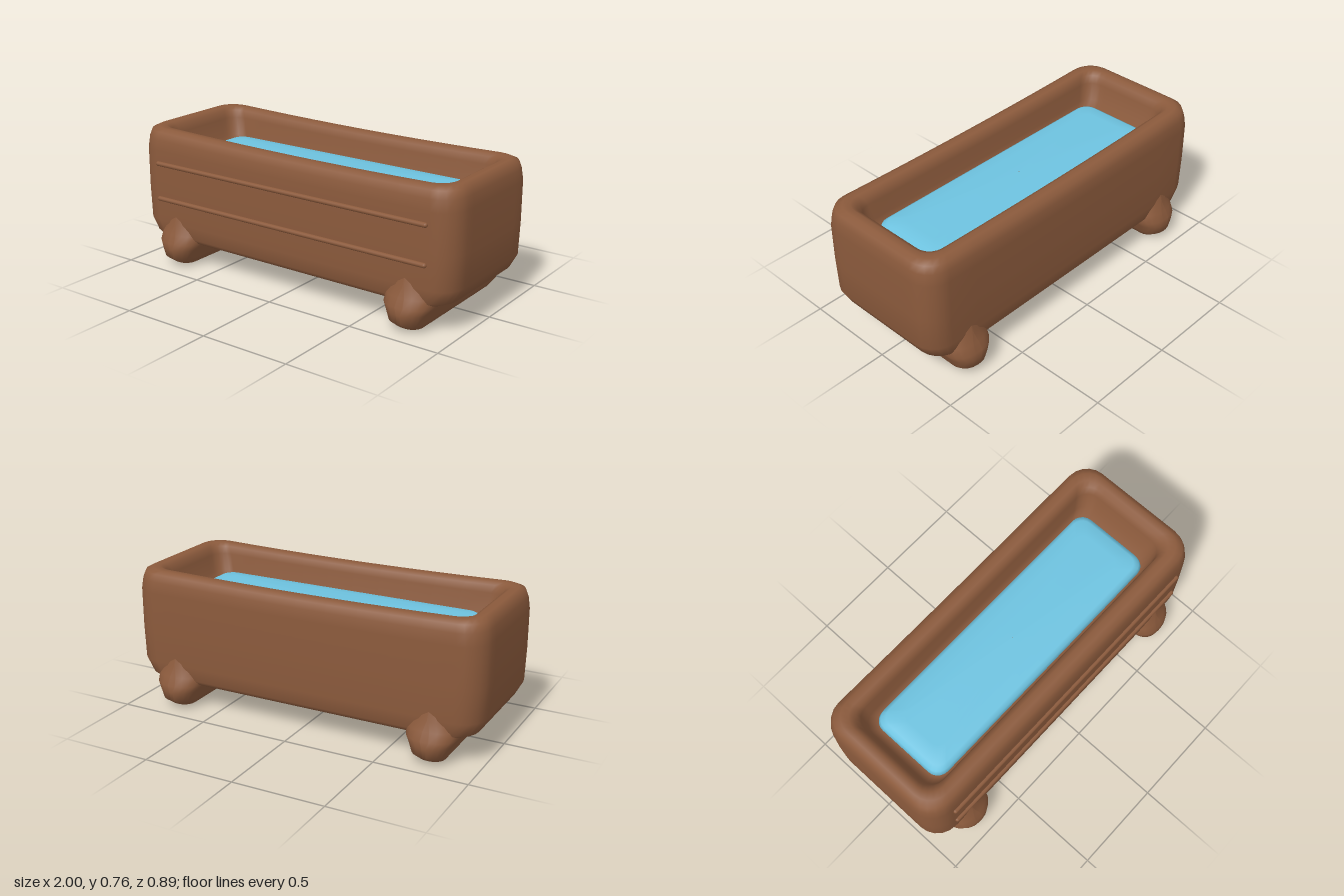
import * as THREE from 'three';

const material = (name, color) => {
  const m = new THREE.MeshStandardMaterial({ color });
  m.name = name;
  return m;
};

// Rounded-rectangle outline, counter-clockwise seen from below, always the same point count
function outline(hx, hz, radius) {
  const r = Math.min(radius, hx, hz), corners = [], pts = [];
  const signs = [[1, 1], [-1, 1], [-1, -1], [1, -1]];
  signs.forEach(([sx, sz], q) => {
    const arc = [];
    for (let i = 0; i <= 5; i++) {
      const a = (q + i / 5) * Math.PI / 2;
      arc.push([sx * (hx - r) + r * Math.cos(a), sz * (hz - r) + r * Math.sin(a)]);
    }
    corners.push(arc);
  });
  corners.forEach((arc, q) => {
    pts.push(...arc);
    const a = arc[5], b = corners[(q + 1) % 4][0];
    for (let i = 1; i < 10; i++) {
      pts.push([a[0] + (b[0] - a[0]) * i / 10, a[1] + (b[1] - a[1]) * i / 10]);
    }
  });
  return pts;
}

// Smooth skin through rings of [y, halfX, halfZ, cornerRadius], listed from the bottom outwards
function loft(rings, lift = () => 0) {
  const pos = [], index = [];
  let n = 0;
  rings.forEach(([y, hx, hz, r], j) => {
    const pts = outline(hx, hz, r);
    n = pts.length;
    pts.forEach(([x, z]) => pos.push(x, y + lift(x, y, z), z));
    if (j === 0) return;
    for (let i = 0; i < n; i++) {
      const a = (j - 1) * n + i, b = (j - 1) * n + (i + 1) % n;
      index.push(a, a + n, b, b, a + n, b + n);
    }
  });
  const g = new THREE.BufferGeometry();
  g.setAttribute('position', new THREE.Float32BufferAttribute(pos, 3));
  g.setIndex(index);
  g.computeVertexNormals();
  return g;
}

export function createModel() {
  const group = new THREE.Group();
  const wood = material('brown wood', 0x8b5a3c);
  const blue = material('blue water', 0x6ec3e0);
  const add = (name, geometry, mat) => {
    const mesh = new THREE.Mesh(geometry, mat);
    mesh.name = name;
    group.add(mesh);
    return mesh;
  };

  // Hollow trough: underside, outer wall, rounded rim, inner wall and floor
  const rimWave = (x, y) => (y > 0.55 ? (y - 0.55) * 5 * (0.018 * x * x - 0.004 * x - 0.006) : 0);
  add('trough', loft([
    [0.135, 0.002, 0.002, 0.002],
    [0.135, 0.84, 0.32, 0.08],
    [0.14, 0.9, 0.36, 0.1],
    [0.165, 0.955, 0.38, 0.12],
    [0.24, 0.995, 0.391, 0.13],
    [0.42, 1, 0.393, 0.13],
    [0.63, 1, 0.392, 0.13],
    [0.69, 0.992, 0.385, 0.13],
    [0.728, 0.978, 0.37, 0.12],
    [0.743, 0.95, 0.34, 0.11],
    [0.743, 0.915, 0.305, 0.09],
    [0.728, 0.888, 0.28, 0.08],
    [0.69, 0.872, 0.268, 0.08],
    [0.6, 0.85, 0.255, 0.08],
    [0.53, 0.8, 0.23, 0.08],
    [0.52, 0.002, 0.002, 0.002],
  ], rimWave), wood);

  // Water with a soft, rounded edge
  add('water', loft([
    [0.53, 0.785, 0.22, 0.07],
    [0.565, 0.8, 0.23, 0.07],
    [0.595, 0.79, 0.222, 0.07],
    [0.61, 0.765, 0.2, 0.06],
    [0.62, 0.69, 0.13, 0.05],
    [0.623, 0.002, 0.002, 0.002],
  ]), blue);

  // Cross-wise feet that bulge out of the front and back walls
  const footGeometry = loft([
    [0, 0.002, 0.002, 0.002],
    [0.002, 0.045, 0.34, 0.04],
    [0.012, 0.07, 0.385, 0.06],
    [0.05, 0.095, 0.436, 0.085],
    [0.1, 0.112, 0.446, 0.1],
    [0.135, 0.135, 0.44, 0.11],
    [0.18, 0.14, 0.421, 0.12],
    [0.23, 0.125, 0.402, 0.12],
    [0.3, 0.09, 0.386, 0.09],
  ]);
  for (const side of [1, -1]) {
    add(side > 0 ? 'leftFoot' : 'rightFoot', footGeometry, wood).position.x = side * 0.742;
  }

  // Two thin rails along the front
  for (const y of [0.567, 0.367]) {
    const rail = add('frontRail', new THREE.CapsuleGeometry(0.013, 1.7, 6, 12), wood);
    rail.rotation.z = Math.PI / 2;
    rail.position.set(0, y, 0.396);
  }
  return group;
}
